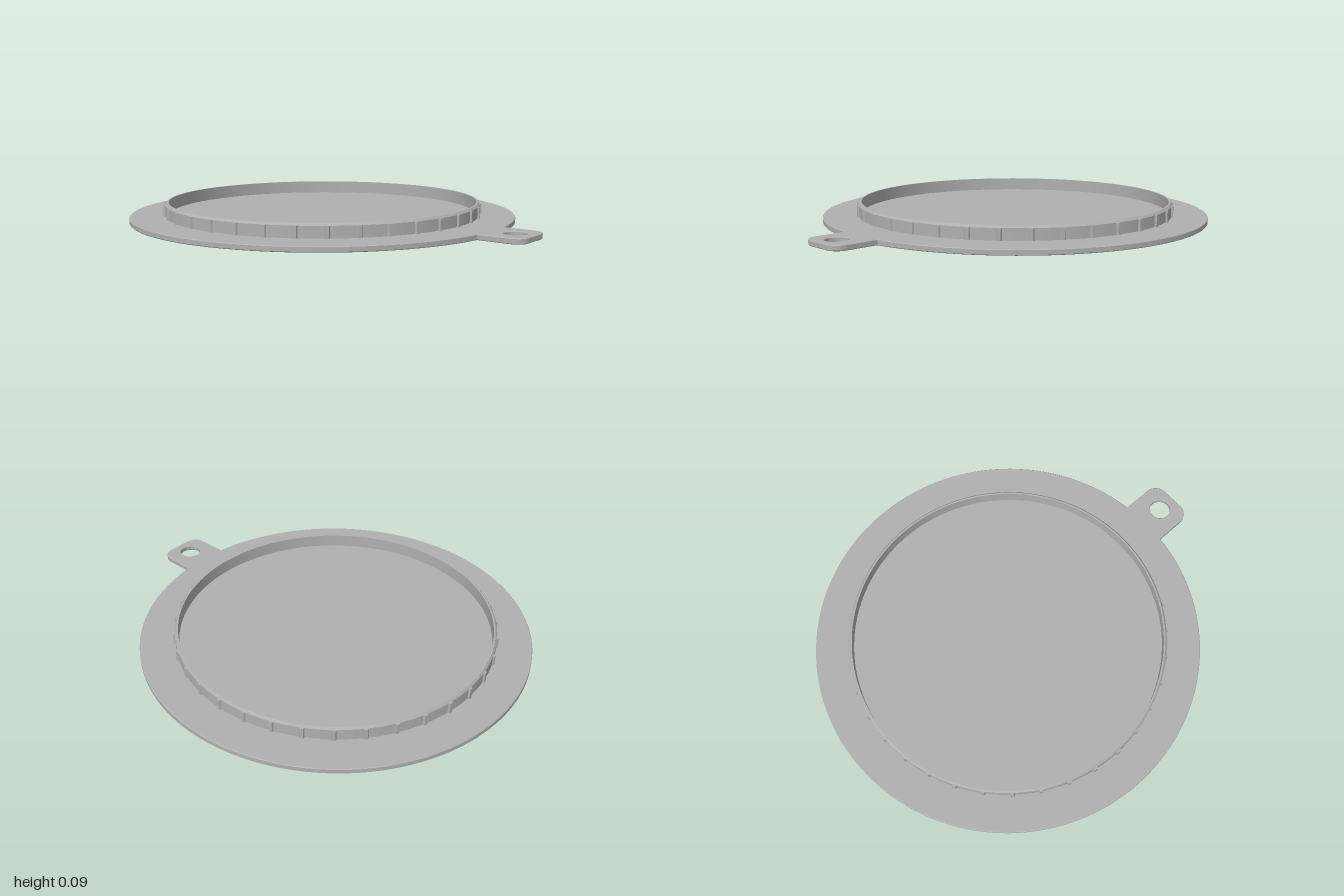
import * as THREE from 'three';
import { toCreasedNormals } from 'three/addons/utils/BufferGeometryUtils.js';

const CENTER_X = -0.097, DISC_R = 0.903, PLATE_H = 0.025;

export function createModel() {
  const model = new THREE.Group();
  const grey = new THREE.MeshStandardMaterial({ color: 0xb0b0b0 });
  grey.name = 'grey plastic';
  const add = (name, geometry, parent = model) => {
    const mesh = new THREE.Mesh(geometry, grey);
    mesh.name = name;
    parent.add(mesh);
    return mesh;
  };

  // Flat disc and rounded hanging tab in one outline, with a hole in the tab
  const tabHalf = 0.115, tabEnd = 1, corner = 0.06;
  const a = Math.asin(tabHalf / DISC_R);
  const outline = new THREE.Shape();
  outline.absarc(CENTER_X, 0, DISC_R, a, Math.PI * 2 - a, false);
  outline.lineTo(tabEnd - corner, -tabHalf);
  outline.absarc(tabEnd - corner, -tabHalf + corner, corner, -Math.PI / 2, 0, false);
  outline.absarc(tabEnd - corner, tabHalf - corner, corner, 0, Math.PI / 2, false);
  outline.closePath();
  const hole = new THREE.Path();
  hole.absarc(0.913, 0, 0.05, 0, Math.PI * 2, true);
  outline.holes.push(hole);
  const bevel = 0.003;
  const plate = new THREE.ExtrudeGeometry(outline, {
    depth: PLATE_H - 2 * bevel, curveSegments: 64,
    bevelEnabled: true, bevelThickness: bevel, bevelSize: bevel, bevelOffset: -bevel, bevelSegments: 1,
  });
  plate.translate(0, 0, bevel).rotateX(-Math.PI / 2);
  add('basePlate', toCreasedNormals(plate, 0.5));

  // Upright ring with a chamfered top edge
  const profile = [
    [0.74, 0.02], [0.74, 0.076], [0.732, 0.086], [0.724, 0.086], [0.724, 0.02],
  ].map(([r, y]) => new THREE.Vector2(r, y));
  const ring = add('plugRing', toCreasedNormals(new THREE.LatheGeometry(profile, 128), 0.5));
  ring.position.x = CENTER_X;

  // Small grip ribs around the outside of the ring
  const ribs = new THREE.Group();
  ribs.name = 'gripRibs';
  ribs.position.x = CENTER_X;
  model.add(ribs);
  const ribShape = new THREE.Shape([
    [0.734, -0.014], [0.748, -0.007], [0.748, 0.007], [0.734, 0.014],
  ].map(([x, y]) => new THREE.Vector2(x, y)));
  const ribGeometry = new THREE.ExtrudeGeometry(ribShape, { depth: 0.056, bevelEnabled: false });
  ribGeometry.rotateX(-Math.PI / 2).translate(0, 0.02, 0);
  const count = 36;
  for (let i = 0; i < count; i++) {
    add('gripRib', ribGeometry, ribs).rotation.y = (i / count) * Math.PI * 2;
  }
  return model;
}
